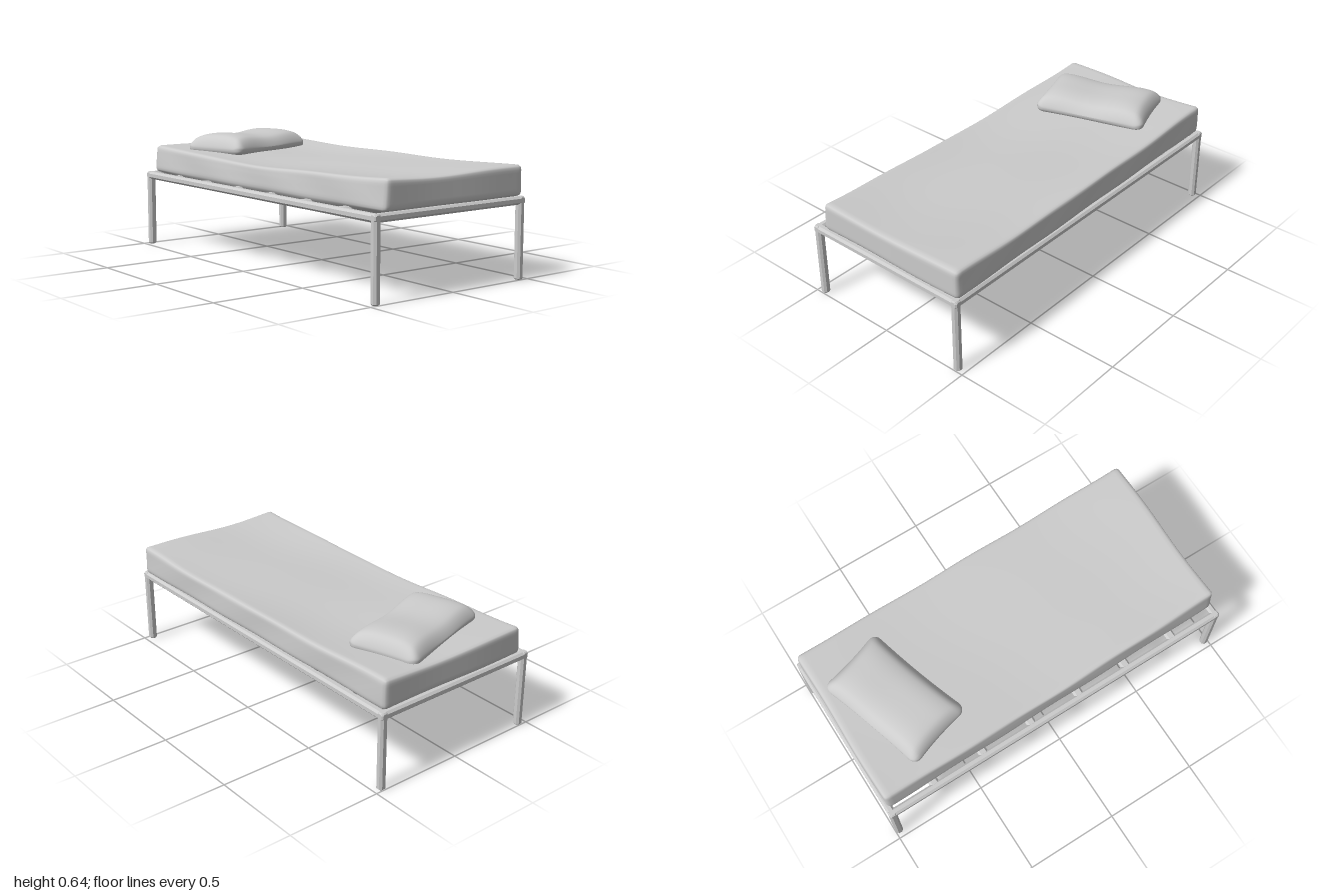
import * as THREE from 'three';
import { mergeVertices } from 'three/addons/utils/BufferGeometryUtils.js';

const { clamp, smoothstep } = THREE.MathUtils;

// Square tube with chamfered long edges and tips, running along +z from 0
function barGeometry(w, h, length) {
  const e = 0.007, b = 0.006, x = w / 2 - b, y = h / 2 - b;
  const shape = new THREE.Shape([
    [x, -y + e], [x, y - e], [x - e, y], [-x + e, y],
    [-x, y - e], [-x, -y + e], [-x + e, -y], [x - e, -y],
  ].map(([px, py]) => new THREE.Vector2(px, py)));
  const geo = new THREE.ExtrudeGeometry(shape, {
    depth: length - 2 * b, bevelSize: b, bevelThickness: b, bevelSegments: 1,
  });
  return geo.translate(0, 0, b);
}

// Finely divided box with rounded edges, then reshaped by a rule
function softBox(w, h, d, radius, segs, rule) {
  const box = new THREE.BoxGeometry(w, h, d, ...segs);
  box.deleteAttribute('uv');
  box.deleteAttribute('normal');
  const geo = mergeVertices(box, 1e-5);
  const pos = geo.attributes.position;
  const p = new THREE.Vector3(), core = new THREE.Vector3();
  const lim = new THREE.Vector3(w / 2 - radius, h / 2 - radius, d / 2 - radius);
  const low = lim.clone().negate();
  for (let i = 0; i < pos.count; i++) {
    p.fromBufferAttribute(pos, i);
    core.copy(p).clamp(low, lim);
    p.sub(core).setLength(radius).add(core);
    rule(p);
    pos.setXYZ(i, p.x, p.y, p.z);
  }
  geo.computeVertexNormals();
  return geo;
}

export function createModel() {
  const group = new THREE.Group();
  const metal = new THREE.MeshStandardMaterial({ color: 0xcccccc, flatShading: true });
  const cloth = new THREE.MeshStandardMaterial({ color: 0xcccccc });
  const add = (name, geo, mat, x, y, z, parent = group) => {
    const mesh = new THREE.Mesh(geo, mat);
    mesh.name = name;
    mesh.position.set(x, y, z);
    parent.add(mesh);
    return mesh;
  };

  // Frame: four legs, two long rails, two end rails
  const frame = new THREE.Group();
  frame.name = 'frame';
  group.add(frame);
  const T = 0.04, X = 0.457, Z = 0.98, railY = 0.391;
  for (const s of [-1, 1]) {
    for (const sz of [-1, 1]) {
      add('leg', barGeometry(T, T, 0.405), metal, s * X, 0, sz * Z, frame).rotation.x = -Math.PI / 2;
    }
    add('sideRail', barGeometry(T, T, 2 * Z + T), metal, s * X, railY, -Z - T / 2, frame);
    add('endRail', barGeometry(T, T, 2 * X + T), metal, -X - T / 2, railY, s * Z, frame).rotation.y = Math.PI / 2;
  }

  // Cross slats under the mattress
  for (let i = 0; i < 6; i++) {
    const z = (i - 2.5) * 0.288 - 0.005;
    add('slat', barGeometry(0.05, T - 0.002, 2 * X), metal, -X, railY, z, frame).rotation.y = Math.PI / 2;
  }

  // Mattress: slightly hollow on top, belly sagging between the rails
  const W = 0.875, H = 0.15, D = 1.97;
  const mattress = softBox(W, H, D, 0.022, [56, 12, 100], (p) => {
    const { x, z } = p;
    const k = p.y / (H / 2);
    const s = clamp(x / (W / 2), -1, 1);
    const u = Math.abs(s);
    const v = Math.min(1, Math.abs(z) / (D / 2));
    const bulge = (t) => Math.sin(Math.PI / 2 * clamp(t, 0, 1));
    if (k < 0) {
      // the belly rises gently on the left, more so toward the ends, and steeply on the right
      const ramp = 0.8 + 0.8 * v * v - 0.3 * z;
      const across = bulge((1 + s) / 0.42) * smoothstep((1 - s) / ramp, 0, 1);
      p.y += k * 0.083 * across * bulge((1 - v) / 0.62);
    } else {
      const dip = (0.019 - 0.009 * s) * (1 - v * v) + 0.018 * (1 - u * u) * (1 - 0.5 * v * v);
      const ripple = 0.003 * Math.sin(7 * z + 3 * x) + 0.004 * Math.cos(9 * x - 2 * z);
      p.y += k * (ripple - dip + 0.003);
    }
    // slight skew, right side spreading toward the bottom
    const spread = s < 0 ? 0.003 - 0.006 * k : 0.002;
    p.x += 0.01 * z + (spread + 0.002 * Math.sin(11 * z + 20 * p.y)) * s;
    p.z += 0.003 * v * Math.sin(9 * x);
  });
  add('mattress', mattress, cloth, 0.024, 0.485, 0);

  // Pillow: plump ends, hollow middle, thin pinched seam
  const PW = 0.62, PH = 0.12, PD = 0.375;
  const pillow = softBox(PW, PH, PD, 0.05, [48, 12, 32], (p) => {
    const u = clamp(p.x / (PW / 2), -1, 1), v = clamp(p.z / (PD / 2), -1, 1);
    const k = p.y / (PH / 2);
    const dome = Math.sqrt((1 - u ** 6) * (1 - Math.abs(v) ** 3));
    const hollow = 0.018 * Math.exp(-((u / 0.5) ** 2));
    if (k > 0) p.y = k * (0.015 + 0.068 * dome - hollow);
    else p.y *= 0.5 + 0.4 * dome;
    // waisted outline with pointed corners
    p.x *= 0.965 + 0.035 * v * v;
    p.z *= 0.96 + 0.05 * u * u;
  });
  add('pillow', pillow, cloth, -0.003, 0.56, -0.68).rotation.y = 0.3;

  return group;
}
